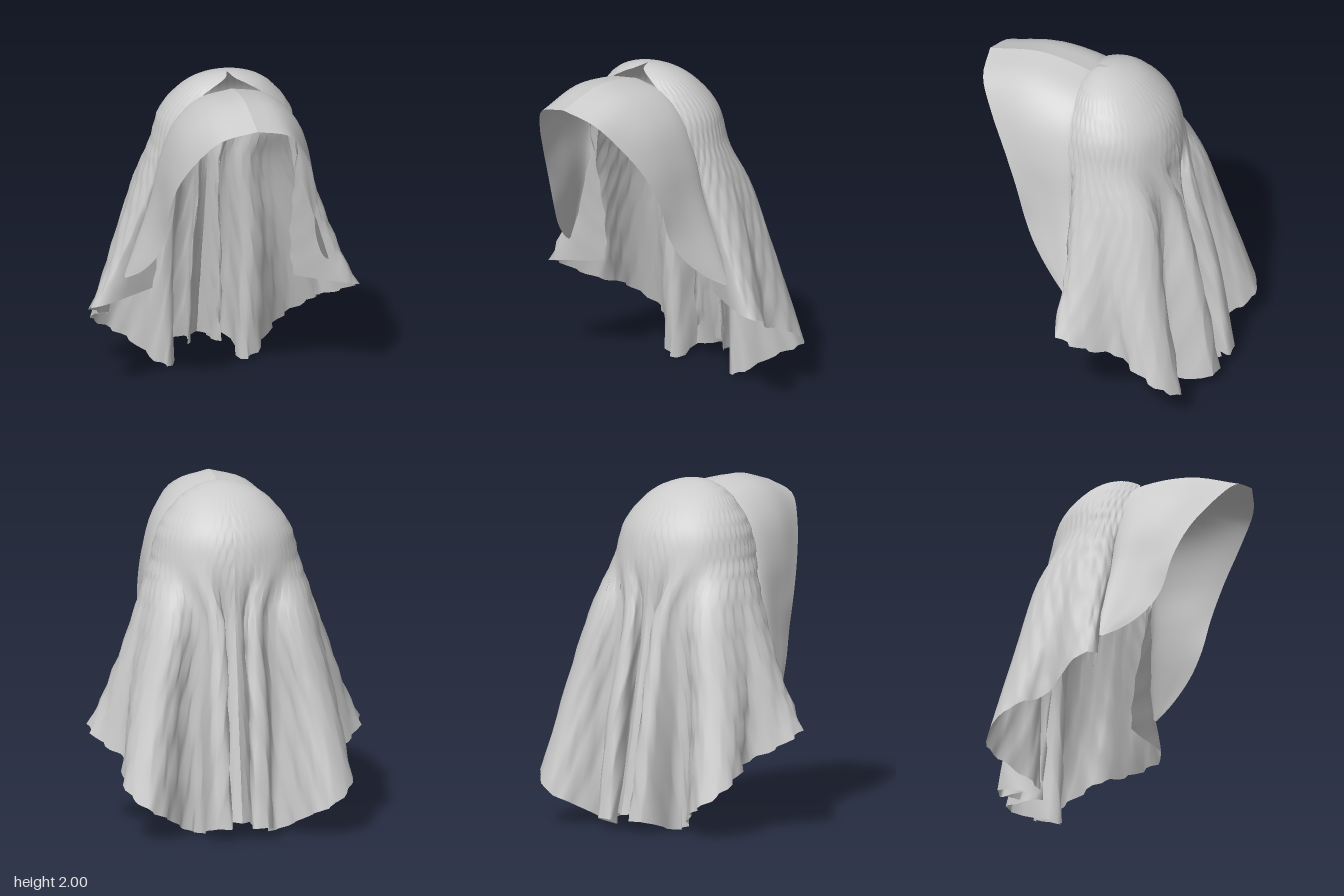
import * as THREE from 'three';

const material = new THREE.MeshStandardMaterial({ color: 0xcccccc, side: THREE.DoubleSide });
const V = (x, y, z) => new THREE.Vector3(x, y, z);

// Smoothly resample a list of points
const resample = (pts, n) => {
  const curve = new THREE.CatmullRomCurve3(pts);
  return Array.from({ length: n + 1 }, (_, i) => curve.getPoint(i / n));
};

// Cloth sheet through cross-section rows; side is +1 or -1 for the mirrored half
function clothSheet(name, rows, across, down, side, wrinkle) {
  const fine = rows.map((r) => resample(r, across));
  const columns = fine[0].map((_, j) => resample(fine.map((r) => r[j]), down));
  const positions = [];
  const index = [];
  columns.forEach((column, j) => column.forEach((p, i) => {
    const fold = wrinkle * (i / down) * Math.sin(j * 1.9 + i * 0.8) * Math.sin(i * 1.3);
    const x = j === across ? p.x : Math.max(0, p.x + fold);
    positions.push(side * x, Math.min(2, Math.max(0, p.y)), p.z + fold * 0.6);
    if (j < across && i < down) {
      const a = j * (down + 1) + i;
      const b = a + down + 1;
      if (side > 0) index.push(a, b, a + 1, b, b + 1, a + 1);
      else index.push(a, a + 1, b, b, a + 1, b + 1);
    }
  }));
  const geometry = new THREE.BufferGeometry();
  geometry.setAttribute('position', new THREE.Float32BufferAttribute(positions, 3));
  geometry.setIndex(index);
  geometry.computeVertexNormals();
  const mesh = new THREE.Mesh(geometry, material);
  mesh.name = name;
  return mesh;
}

// Hood: curves from the top seam down to the hem, front rim to back crease
const rim = [
  V(0, 1.9, 0.745), V(0.2, 1.84, 0.7), V(0.31, 1.7, 0.6), V(0.4, 1.5, 0.47), V(0.44, 1.3, 0.38),
  V(0.45, 1.1, 0.32), V(0.49, 0.96, 0.24), V(0.55, 0.84, 0.12), V(0.61, 0.77, 0.01),
];
const middle = [
  V(0, 1.975, 0.42), V(0.2, 1.92, 0.4), V(0.35, 1.76, 0.35), V(0.425, 1.53, 0.28), V(0.45, 1.3, 0.22),
  V(0.48, 1.1, 0.18), V(0.52, 0.97, 0.13), V(0.57, 0.86, 0.06), V(0.61, 0.77, 0),
];
const crease = [
  V(0, 1.94, 0.13), V(0.2, 1.89, 0.11), V(0.34, 1.75, 0.09), V(0.42, 1.52, 0.06), V(0.46, 1.3, 0.04),
  V(0.5, 1.13, 0.01), V(0.54, 1, -0.005), V(0.57, 0.9, -0.015), V(0.61, 0.78, -0.02),
];
const tuck = crease.map((p) => V(p.x * 0.9, p.y - 0.02, p.z - 0.05));

// Veil: rows from the crown down, each from the front edge to the back seam
const COLS = 16;
const domeRow = (y, a, r, cz, start) => Array.from({ length: COLS }, (_, i) => {
  const t = THREE.MathUtils.lerp(start, -Math.PI / 2, i / (COLS - 1));
  return V(Math.max(0, a * Math.cos(t)), y, cz + r * Math.sin(t));
});
const foldRow = (yFront, yBack, xz) => xz.map(([x, z], i) =>
  V(x, THREE.MathUtils.lerp(yFront, yBack, i / (COLS - 1)), z));

const veilRows = [
  domeRow(2, 0.002, 0.002, 0, 1.2),
  domeRow(1.985, 0.1, 0.08, -0.01, 1.3),
  domeRow(1.92, 0.24, 0.19, -0.04, 0.9),
  domeRow(1.75, 0.38, 0.32, -0.07, 0.55),
  domeRow(1.55, 0.435, 0.37, -0.08, 0.4),
  // pleats begin
  foldRow(1.3, 1.25, [
    [0.4, 0], [0.47, 0.02], [0.51, -0.04], [0.52, -0.14], [0.5, -0.22], [0.48, -0.31],
    [0.45, -0.38], [0.38, -0.44], [0.32, -0.45], [0.25, -0.43], [0.19, -0.44], [0.14, -0.5],
    [0.08, -0.5], [0.06, -0.43], [0.04, -0.46], [0, -0.48],
  ]),
  // deep pleats
  foldRow(0.95, 0.6, [
    [0.4, -0.06], [0.6, -0.01], [0.65, -0.06], [0.65, -0.18], [0.59, -0.27], [0.59, -0.38],
    [0.56, -0.49], [0.47, -0.56], [0.38, -0.54], [0.29, -0.46], [0.21, -0.47], [0.16, -0.64],
    [0.07, -0.645], [0.09, -0.5], [0.05, -0.57], [0, -0.62],
  ]),
  // hem
  [
    V(0.42, 0.65, -0.1), V(0.76, 0.6, 0), V(0.8, 0.56, -0.1), V(0.72, 0.48, -0.22),
    V(0.62, 0.42, -0.34), V(0.67, 0.36, -0.5), V(0.65, 0.27, -0.64), V(0.53, 0.18, -0.71),
    V(0.42, 0.12, -0.64), V(0.3, 0.03, -0.5), V(0.21, 0, -0.48), V(0.17, 0.07, -0.74),
    V(0.06, 0.07, -0.74), V(0.09, 0.1, -0.55), V(0.06, 0.1, -0.68), V(0, 0.1, -0.73),
  ],
];

export function createModel() {
  const model = new THREE.Group();
  model.name = 'drapedHood';
  for (const [label, side] of [['left', 1], ['right', -1]]) {
    model.add(clothSheet(`${label}Hood`, [rim, middle, crease, tuck], 32, 15, side, 0));
    model.add(clothSheet(`${label}Veil`, veilRows, 60, 35, side, 0.014));
  }
  return model;
}
